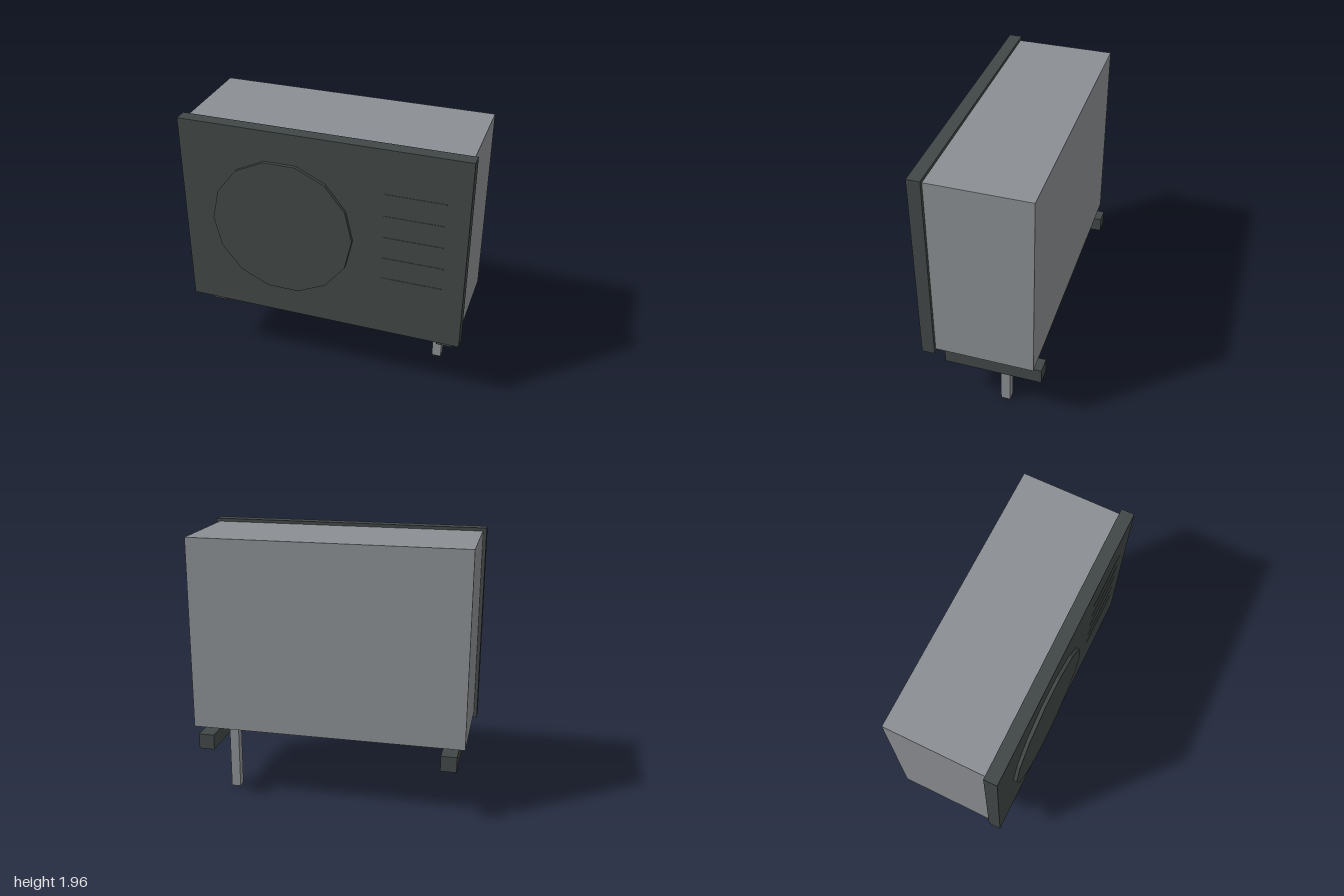
import * as THREE from 'three';

export function createModel() {
  const model = new THREE.Group();
  model.name = 'outdoorUnit';

  const grey = new THREE.MeshStandardMaterial({ color: 0x8b8e92 });
  grey.name = 'casing grey';
  const dark = new THREE.MeshStandardMaterial({ color: 0x414746 });
  dark.name = 'dark grey';

  const add = (name, geometry, material, x, y, z) => {
    const mesh = new THREE.Mesh(geometry, material);
    mesh.name = name;
    mesh.position.set(x, y, z);
    model.add(mesh);
    return mesh;
  };
  // Box given by its minimum and maximum on each axis
  const box = (name, material, [x0, x1], [y0, y1], [z0, z1]) =>
    add(name, new THREE.BoxGeometry(x1 - x0, y1 - y0, z1 - z0), material,
      (x0 + x1) / 2, (y0 + y1) / 2, (z0 + z1) / 2);

  // Casing and the slightly larger front panel
  box('casing', grey, [-0.975, 0.975], [0.558, 1.935], [-0.382, 0.31]);
  box('frontPanel', dark, [-1, 1], [0.535, 1.957], [0.31, 0.401]);

  // Fan cover: a low 14-sided disc with corners at left and right
  const disc = new THREE.CylinderGeometry(0.505, 0.505, 0.034, 14);
  disc.rotateY(Math.PI / 2).rotateX(Math.PI / 2);
  const fan = add('fanCover', disc.toNonIndexed(), dark, -0.276, 1.245, 0.408);
  fan.geometry.computeVertexNormals();

  // Thin louvre slats beside the fan
  for (let i = 0; i < 5; i++) {
    const y = 1.636 - i * 0.1625;
    box('louvreSlat', dark, [0.435, 0.85], [y - 0.005, y + 0.005], [0.398, 0.404]);
  }

  // Support rails under both ends
  for (const side of [-1, 1]) {
    const rail = box('supportRail', dark, [0.815, 0.927], [0.408, 0.52], [-0.425, 0.265]);
    rail.position.x *= side;
  }

  // Drain pipe on the left
  box('drainPipe', grey, [0.722, 0.79], [0, 0.467], [-0.158, -0.09]);

  return model;
}
